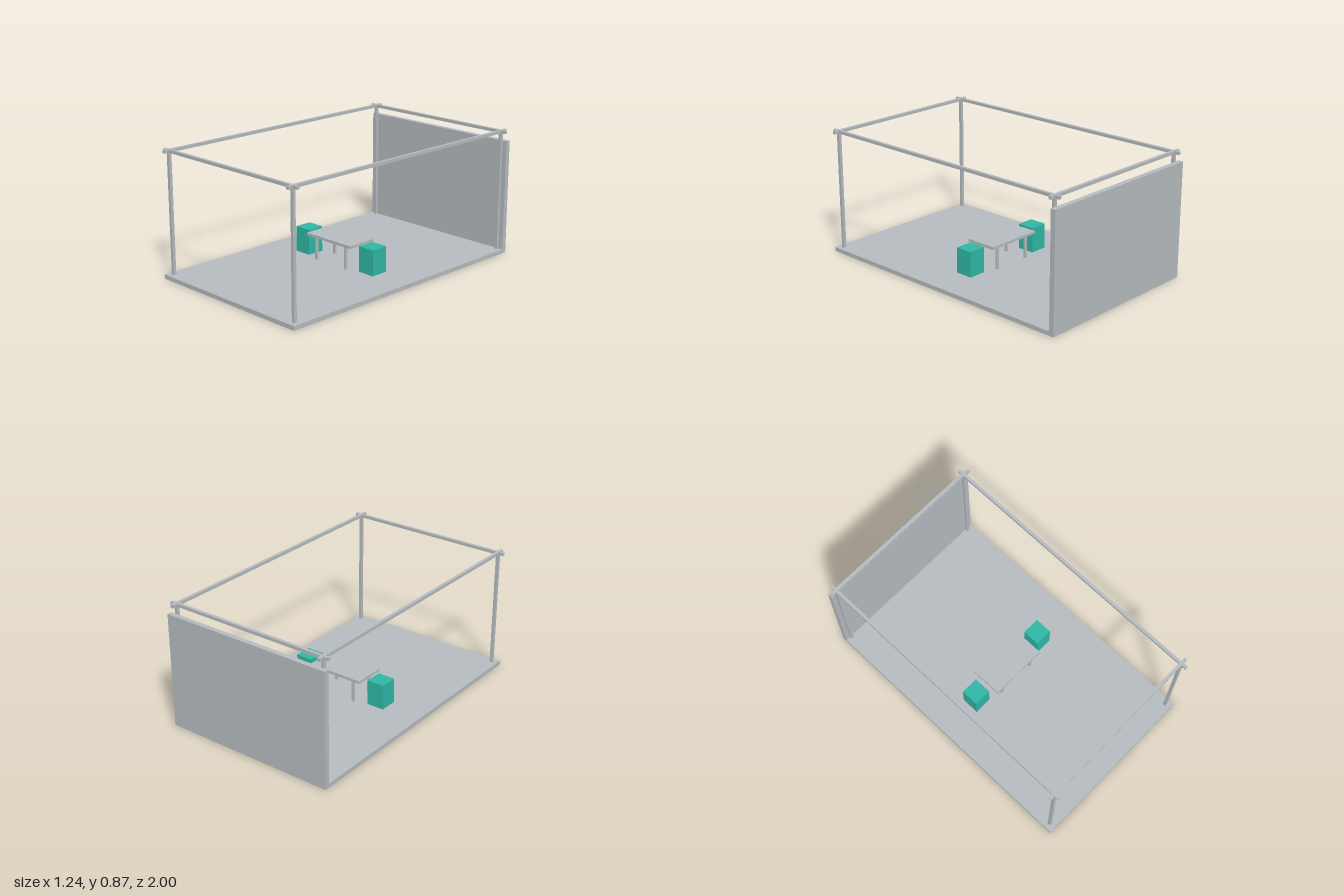
import * as THREE from 'three';

export function createModel() {
  const model = new THREE.Group();
  model.name = 'openPavilion';

  const grey = new THREE.MeshStandardMaterial({ color: 0xb6bcc0 });
  grey.name = 'light grey';
  const teal = new THREE.MeshStandardMaterial({ color: 0x30b8a6 });
  teal.name = 'teal';

  // Box from its size, centre x and z, and bottom height
  function box(name, parent, material, w, h, d, x, bottom, z) {
    const mesh = new THREE.Mesh(new THREE.BoxGeometry(w, h, d), material);
    mesh.name = name;
    mesh.position.set(x, bottom + h / 2, z);
    parent.add(mesh);
    return mesh;
  }

  const width = 1.244, floorTop = 0.029, wallDepth = 0.035;
  const beam = 0.021, beamY = 0.853, postX = 0.579, postZ = 0.956;

  // Floor slab and back wall
  box('floor', model, grey, width, floorTop, 2 - wallDepth, 0, 0, wallDepth / 2);
  box('backWall', model, grey, width, 0.8, wallDepth, 0, 0, -1 + wallDepth / 2);

  // Frame: four posts, with beams that cross and overhang at the corners
  const frame = new THREE.Group();
  frame.name = 'frame';
  model.add(frame);
  for (const s of [-1, 1]) {
    box('sideBeam', frame, grey, beam, beam, 2, s * postX, beamY, 0);
    box('crossBeam', frame, grey, width, beam, beam, 0, beamY, s * postZ);
    for (const t of [-1, 1]) {
      box('post', frame, grey, beam, beamY - floorTop, beam, s * postX, floorTop, t * postZ);
    }
  }

  // Table
  const table = new THREE.Group();
  table.name = 'table';
  model.add(table);
  box('tableTop', table, grey, 0.41, 0.019, 0.226, 0, 0.19, 0);
  for (const s of [-1, 1]) {
    for (const t of [-1, 1]) {
      box('tableLeg', table, grey, 0.017, 0.19 - floorTop, 0.017, s * 0.138, floorTop, t * 0.086);
    }
  }

  // Block stools at each end of the table
  for (const s of [-1, 1]) {
    box('stool', model, teal, 0.125, 0.178, 0.125, s * 0.301, floorTop, 0);
  }

  return model;
}
